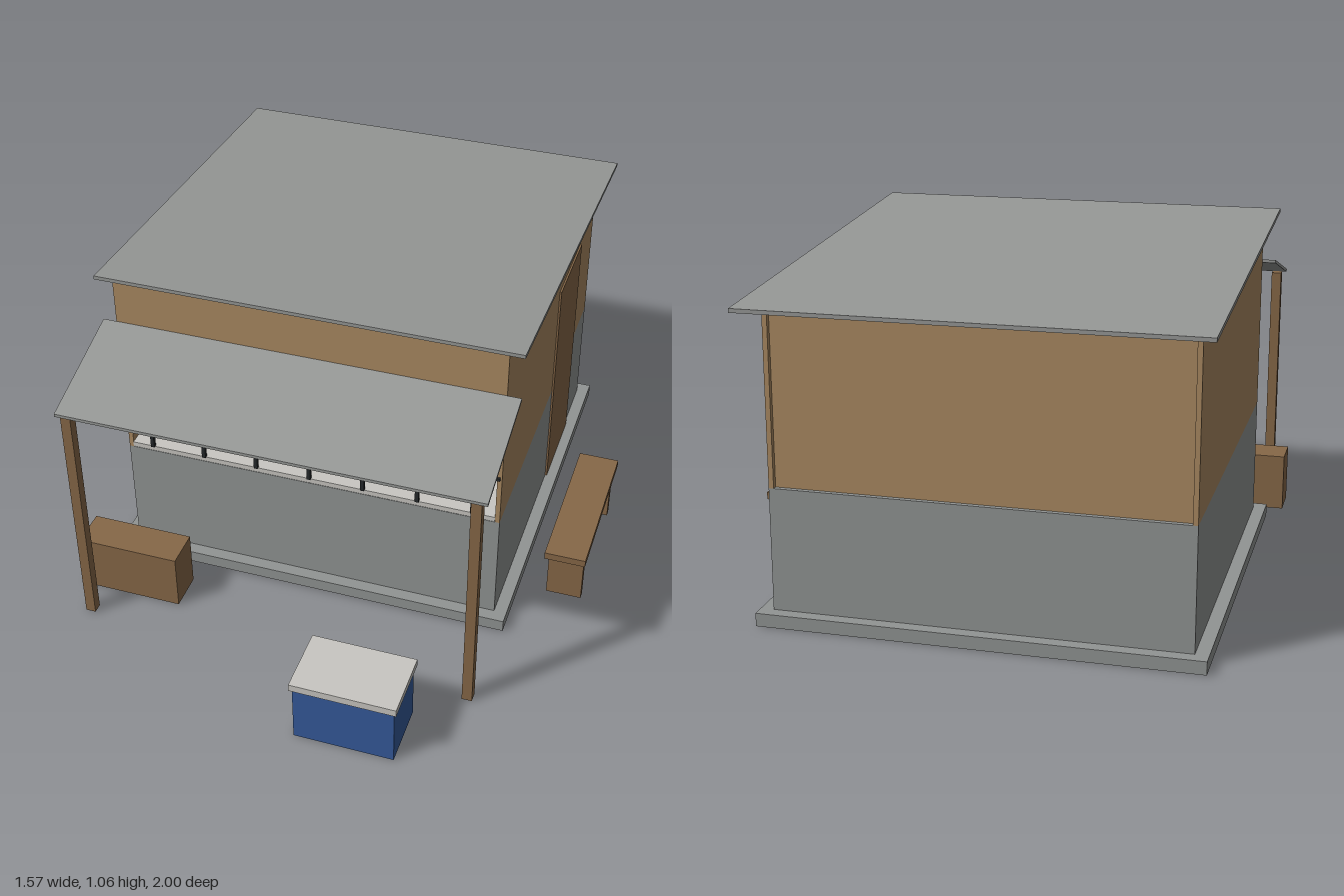
import * as THREE from 'three';

const mat = (name, color) => {
  const m = new THREE.MeshStandardMaterial({ color });
  m.name = name;
  return m;
};

export function createModel() {
  const root = new THREE.Group();
  root.name = 'kiosk';

  const grey = mat('concreteGrey', 0x929594);
  const metal = mat('roofGrey', 0x969896);
  const tan = mat('tanWall', 0xaa8a62);
  const wood = mat('wood', 0x876848);
  const dark = mat('darkBars', 0x25292b);
  const pale = mat('paleGrey', 0xc9c7c2);
  const blue = mat('coolerBlue', 0x355a9a);
  const yellow = mat('yellow', 0xc9a536);
  const red = mat('red', 0xa8443a);

  // Box given by its extents on each axis
  const box = (name, m, x0, x1, y0, y1, z0, z1, parent = root) => {
    const mesh = new THREE.Mesh(new THREE.BoxGeometry(x1 - x0, y1 - y0, z1 - z0), m);
    mesh.position.set((x0 + x1) / 2, (y0 + y1) / 2, (z0 + z1) / 2);
    mesh.name = name;
    parent.add(mesh);
    return mesh;
  };

  // Prism with a (z, y) outline, running from x0 to x1
  const prism = (name, m, outline, x0, x1) => {
    const shape = new THREE.Shape(outline.map(([z, y]) => new THREE.Vector2(-z, y)));
    const geo = new THREE.ExtrudeGeometry(shape, { depth: x1 - x0, bevelEnabled: false });
    geo.rotateY(Math.PI / 2);
    geo.translate(x0, 0, 0);
    const mesh = new THREE.Mesh(geo, m);
    mesh.name = name;
    root.add(mesh);
  };

  const L = -0.70, R = 0.53, B = -0.895, F = 0.34, T = 0.02, MID = 0.41;
  const roofY = z => 1.05 + (z - 0.36) * 0.081; // underside of the roof

  // Foundation and lower walls
  box('foundation', grey, L - 0.04, R + 0.04, 0, 0.04, B - 0.04, F + 0.04);
  box('lowerFrontWall', grey, L, R, 0.04, MID, F - T, F);
  box('lowerBackWall', grey, L, R, 0.04, MID, B, B + T);
  for (const x of [L, R - T]) box('lowerSideWall', grey, x, x + T, 0.04, MID, B + T, F - T);

  // Upper walls, with sloping side tops and a slightly recessed back panel
  for (const x of [L, R - 0.015]) {
    prism('upperSideWall', tan, [[B, MID], [F, MID], [F, roofY(F)], [B, roofY(B)]], x, x + 0.015);
  }
  const b = B + 0.015;
  prism('upperBackWall', tan,
    [[b, MID], [b + T, MID], [b + T, roofY(b + T)], [b, roofY(b)]], L + 0.015, R - 0.015);
  prism('frontLintel', tan,
    [[F - T, 0.85], [F, 0.85], [F, roofY(F)], [F - T, roofY(F - T)]], L + 0.015, R - 0.015);

  // Sloping roof and awning
  prism('roof', metal, [[-1, 0.941], [0.36, 1.051], [0.36, 1.063], [-1, 0.953]], -0.75, 0.58);
  prism('awning', metal, [[F, 0.886], [0.705, 0.785], [0.705, 0.795], [F, 0.896]], -0.743, 0.573);
  for (const x of [-0.728, 0.523]) box('awningPost', wood, x, x + 0.032, 0, 0.787, 0.667, 0.699);

  // Side door
  box('door', wood, R - 0.003, R + 0.006, 0.04, 0.805, -0.68, -0.37);

  // Serving counter
  box('counter', pale, L + 0.015, R - 0.015, MID + 0.003, 0.43, -0.05, F + 0.002);

  // Window bars
  const bars = new THREE.Group();
  bars.name = 'windowBars';
  root.add(bars);
  for (let i = 0; i < 7; i++) {
    const x = -0.615 + i * 0.1765;
    box('uprightBar', dark, x - 0.006, x + 0.006, 0.43, 0.85, F - 0.004, F + 0.008, bars);
  }
  for (const y of [0.583, 0.73]) {
    box('crossBar', dark, L + 0.005, R - 0.005, y - 0.005, y + 0.005, F - 0.003, F + 0.007, bars);
  }

  // Shelves with goods
  const goods = [yellow, red, pale, yellow, red, yellow];
  for (const y of [0.555, 0.703]) {
    box('shelf', wood, L + 0.015, R - 0.018, y, y + 0.012, 0.02, 0.15);
    goods.forEach((m, i) => {
      const x = -0.6 + i * 0.206;
      box('goodsBox', m, x - 0.061, x + 0.061, y + 0.012, y + 0.107, 0.035, 0.13);
    });
  }

  // Wooden crate
  box('crate', wood, -0.785, -0.455, 0, 0.187, 0.462, 0.585);

  // Cooler
  box('coolerBody', blue, 0.087, 0.398, 0, 0.195, 0.797, 0.992);
  box('coolerLid', pale, 0.079, 0.406, 0.195, 0.219, 0.788, 1);

  // Bench
  box('benchSeat', wood, 0.65, 0.782, 0.167, 0.191, -0.34, 0.19);
  for (const z of [-0.295, 0.133]) box('benchLeg', wood, 0.659, 0.773, 0, 0.167, z, z + 0.024);

  return root;
}
